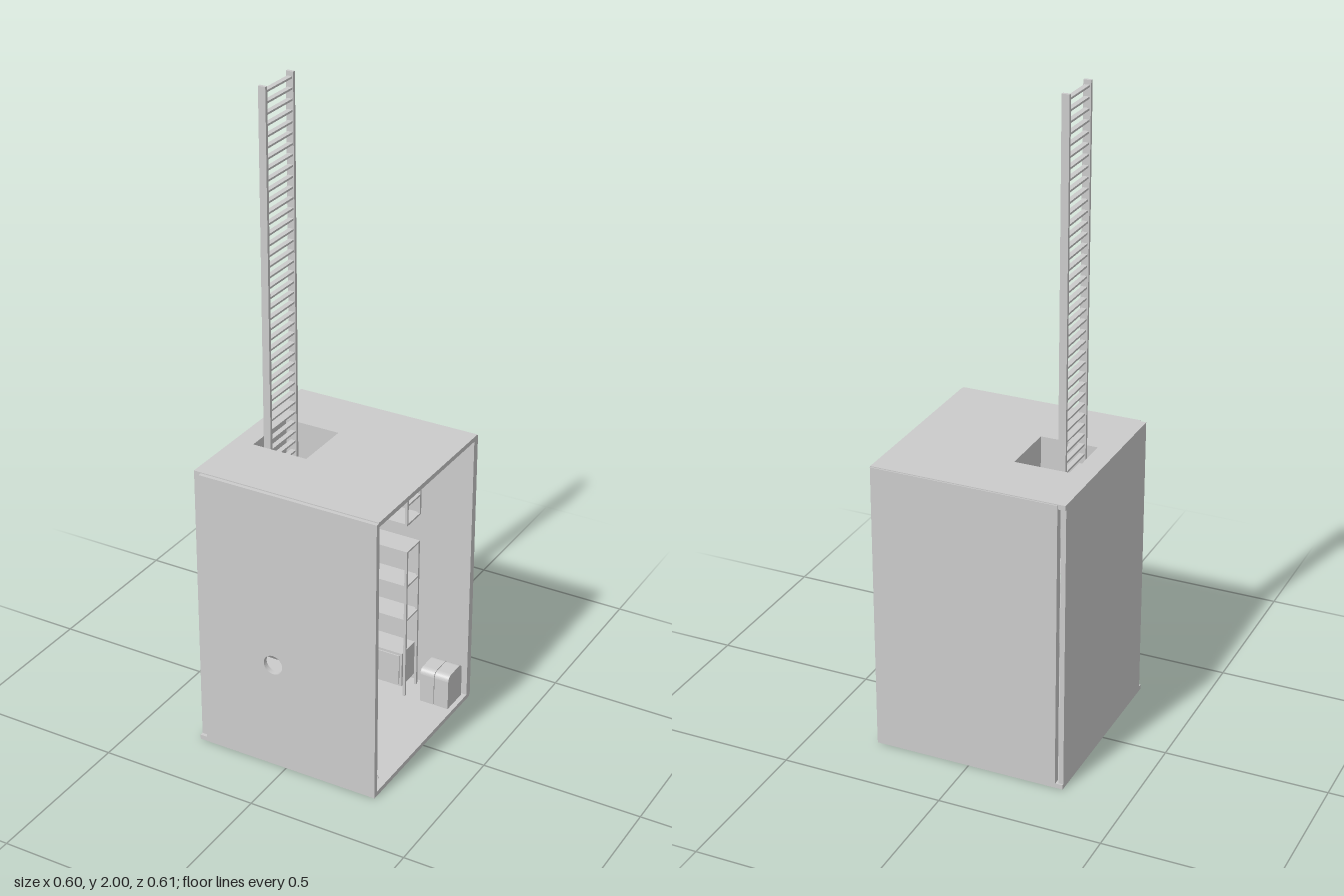
import * as THREE from 'three';

const material = new THREE.MeshStandardMaterial({ color: 0xcccccc });

function add(parent, name, geometry) {
  const mesh = new THREE.Mesh(geometry, material);
  mesh.name = name;
  parent.add(mesh);
  return mesh;
}

// Box given by its limits on each axis
function box(parent, name, x0, x1, y0, y1, z0, z1) {
  const mesh = add(parent, name, new THREE.BoxGeometry(x1 - x0, y1 - y0, z1 - z0));
  mesh.position.set((x0 + x1) / 2, (y0 + y1) / 2, (z0 + z1) / 2);
  return mesh;
}

// Thin round rod between two points
function rod(parent, name, a, b, radius) {
  const path = new THREE.LineCurve3(new THREE.Vector3(...a), new THREE.Vector3(...b));
  return add(parent, name, new THREE.TubeGeometry(path, 1, radius, 8));
}

function rectangle(x0, x1, y0, y1) {
  return new THREE.Shape([[x0, y0], [x1, y0], [x1, y1], [x0, y1]].map(p => new THREE.Vector2(...p)));
}

function group(parent, name) {
  const g = new THREE.Group();
  g.name = name;
  parent.add(g);
  return g;
}

// Room shell, open towards +x
function addRoom(model) {
  const room = group(model, 'room');
  box(room, 'floor', -0.3, 0.298, 0, 0.015, -0.303, 0.303);
  box(room, 'sideWall', -0.3, -0.285, 0.015, 0.905, -0.298, 0.292);
  box(room, 'backWall', -0.277, 0.298, 0.01, 0.912, -0.306, -0.283);

  // Front wall with round port
  const front = rectangle(-0.277, 0.298, 0.01, 0.912);
  front.holes.push(new THREE.Path().absarc(-0.04, 0.35, 0.031, 0, Math.PI * 2, true));
  add(room, 'frontWall', new THREE.ExtrudeGeometry(front, { depth: 0.016, bevelEnabled: false, curveSegments: 24 }))
    .position.z = 0.288;

  // Roof with hatch opening
  const roof = rectangle(-0.3, 0.298, -0.292, 0.303);
  roof.holes.push(rectangle(-0.237, -0.059, -0.075, 0.11));
  const roofMesh = add(room, 'roof', new THREE.ExtrudeGeometry(roof, { depth: 0.015, bevelEnabled: false }));
  roofMesh.rotation.x = -Math.PI / 2;
  roofMesh.position.y = 0.9;
}

// Shaft under the hatch, closed by a trapdoor with a pull cord
function addShaft(model) {
  const shaft = group(model, 'hatchShaft');
  for (const [x0, x1] of [[-0.242, -0.237], [-0.059, -0.054]]) {
    box(shaft, 'shaftSide', x0, x1, 0.735, 0.91, -0.11, 0.075);
  }
  for (const [z0, z1] of [[-0.115, -0.11], [0.075, 0.08]]) {
    box(shaft, 'shaftEnd', -0.242, -0.054, 0.735, 0.91, z0, z1);
  }
  box(shaft, 'trapdoor', -0.237, -0.059, 0.735, 0.742, -0.11, 0.075);
  const cord = [[0.735, -0.012], [0.68, -0.016], [0.63, -0.008], [0.55, -0.016], [0.5, -0.01], [0.44, -0.01], [0.39, -0.016]];
  const path = new THREE.CatmullRomCurve3(cord.map(([y, z]) => new THREE.Vector3(-0.14, y, z)));
  add(shaft, 'pullCord', new THREE.TubeGeometry(path, 40, 0.003, 8));
}

function addLadder(model) {
  const ladder = group(model, 'ladder');
  for (const z of [-0.09, 0.055]) {
    box(ladder, 'rail', -0.21, -0.187, 0.742, 2, z - 0.005, z + 0.005);
  }
  for (let y = 0.765; y < 1.995; y += 0.032) {
    box(ladder, 'rung', -0.206, -0.19, y, y + 0.006, -0.086, 0.051);
  }
}

// Standing shelves along a wall; side is +1 for the front wall, -1 for the back
function addShelving(model, side, top, near, far) {
  const unit = group(model, side > 0 ? 'frontShelving' : 'backShelving');
  const span = (name, x0, x1, y0, y1, a, b) =>
    box(unit, name, x0, x1, y0, y1, Math.min(a * side, b * side), Math.max(a * side, b * side));
  for (const x of [-0.22, 0.128]) {
    span('post', x, x + 0.008, 0.015, top, near, near + 0.008);
    span('post', x, x + 0.008, 0.015, top, far - 0.008, far);
  }
  for (let y = top; y > 0.25; y -= 0.12) {
    span('shelf', -0.22, 0.136, y - 0.006, y, near, far);
  }
  // Drawer cabinet on the bottom
  span('cabinet', -0.21, 0.126, 0.05, 0.168, near - 0.004, far - 0.004);
  for (const x of [-0.125, 0.04]) {
    span('drawerFront', x - 0.078, x + 0.078, 0.058, 0.16, near - 0.008, near - 0.004);
    const knob = add(unit, 'knob', new THREE.SphereGeometry(0.006, 12, 8));
    knob.position.set(x - 0.03, 0.115, (near - 0.011) * side);
  }
}

// Hanging shelves on the back wall with slanted end bars
function addWallShelves(model) {
  const unit = group(model, 'wallShelves');
  for (const y of [0.62, 0.685, 0.75]) {
    box(unit, 'wallShelf', -0.22, 0.136, y, y + 0.006, -0.265, -0.18);
  }
  for (const x of [-0.217, 0.132]) {
    box(unit, 'frontUpright', x - 0.004, x + 0.004, 0.62, 0.762, -0.188, -0.18);
    box(unit, 'backUpright', x - 0.004, x + 0.004, 0.62, 0.82, -0.268, -0.26);
    rod(unit, 'slantedBar', [x, 0.76, -0.182], [x, 0.817, -0.265], 0.004);
  }
}

// Slender stand with forked hooks and splayed feet
function addCoatStand(model) {
  const stand = group(model, 'coatStand');
  stand.position.set(0.24, 0, 0.235);
  rod(stand, 'pole', [0, 0.03, 0], [0, 0.42, 0], 0.004);
  for (let i = 0; i < 4; i++) {
    const c = Math.cos(i * Math.PI / 2), s = Math.sin(i * Math.PI / 2);
    rod(stand, 'hook', [0, 0.405, 0], [c * 0.018, 0.44, s * 0.018], 0.003);
    rod(stand, 'foot', [0, 0.06, 0], [c * 0.032, 0.018, s * 0.032], 0.004);
  }
}

// Chest with a gently rounded lid
function addChest(model) {
  const chest = group(model, 'chest');
  const profile = new THREE.Shape();
  profile.moveTo(-0.275, 0.015);
  profile.lineTo(-0.185, 0.015);
  profile.lineTo(-0.185, 0.112);
  profile.quadraticCurveTo(-0.187, 0.13, -0.205, 0.131);
  profile.lineTo(-0.255, 0.131);
  profile.quadraticCurveTo(-0.273, 0.13, -0.275, 0.112);
  for (const x of [0.187, 0.236]) {
    const half = add(chest, 'chestHalf', new THREE.ExtrudeGeometry(profile, { depth: 0.047, bevelEnabled: false }));
    half.rotation.y = -Math.PI / 2;
    // Turning the profile upright maps its x to z and its depth to -x
    half.position.x = x + 0.047;
  }
}

export function createModel() {
  const model = new THREE.Group();
  model.name = 'bunkerRoom';
  addRoom(model);
  addShaft(model);
  addLadder(model);
  addShelving(model, 1, 0.65, 0.195, 0.275);
  addShelving(model, -1, 0.53, 0.182, 0.264);
  addWallShelves(model);
  addCoatStand(model);
  addChest(model);
  // Small box kept on the front shelving
  box(model, 'storageBox', -0.18, -0.1, 0.41, 0.47, 0.205, 0.265);
  return model;
}
